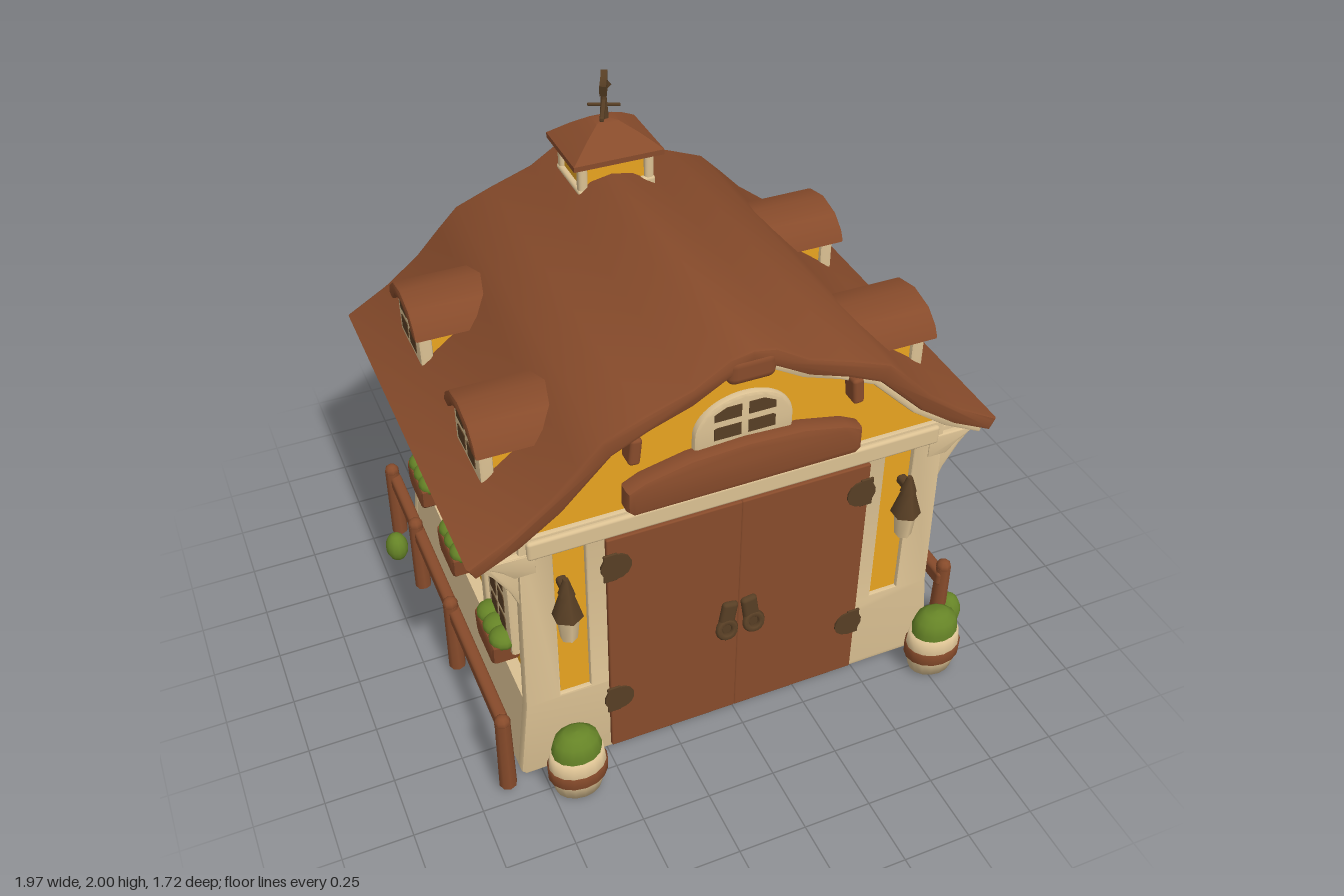
import * as THREE from 'three';
import { toCreasedNormals } from 'three/addons/utils/BufferGeometryUtils.js';
import { RoundedBoxGeometry } from 'three/addons/geometries/RoundedBoxGeometry.js';

const paint = (name, color) => Object.assign(new THREE.MeshStandardMaterial({ color }), { name });
const brown = paint('roof brown', 0x874b2b);
const yellow = paint('wall yellow', 0xffb424);
const cream = paint('plaster cream', 0xdac092);
const dark = paint('dark brown', 0x573e24);
const green = paint('leaf green', 0x668427);

function add(parent, name, geo, mat, x = 0, y = 0, z = 0) {
  const m = new THREE.Mesh(geo, mat);
  m.name = name;
  m.position.set(x, y, z);
  parent.add(m);
  return m;
}
const rbox = (w, h, d, r = 0.012) => new RoundedBoxGeometry(w, h, d, 2, Math.min(r, w / 2.1, h / 2.1, d / 2.1));
const vecs = (pts) => pts.map(([x, y]) => new THREE.Vector2(x, y));
const poly = (pts) => new THREE.Shape(vecs(pts));
function extrude(shape, depth, bevel = 0) {
  const g = new THREE.ExtrudeGeometry(shape, {
    depth: depth - 2 * bevel, bevelEnabled: bevel > 0, bevelSize: bevel, bevelThickness: bevel,
    bevelOffset: -bevel, bevelSegments: 2, curveSegments: 14,
  });
  g.translate(0, 0, bevel);
  return toCreasedNormals(g, 0.6);
}
// Profile in (outward, up), run along a side wall and centred on its length
function sideRun(pts, length, bevel = 0) {
  const g = extrude(poly(pts), length, bevel);
  g.translate(0, 0, -length / 2);
  return g.rotateY(-Math.PI / 2);
}
// Upright rectangle with an arched top, base at y = 0
function arch(w, h, rise) {
  const s = new THREE.Shape();
  s.moveTo(-w / 2, 0).lineTo(w / 2, 0).lineTo(w / 2, h - rise);
  s.absellipse(0, h - rise, w / 2, rise, 0, Math.PI, false);
  return s.lineTo(-w / 2, 0);
}
function arched(parent, w, h, rise, rows, x, y, z, paneW, paneH) {
  const g = new THREE.Group();
  g.name = 'archedWindow';
  g.position.set(x, y, z);
  parent.add(g);
  add(g, 'windowFrame', extrude(arch(w, h, rise), 0.05, 0.012), cream);
  const gap = 0.026, first = (h - rows * paneH - (rows - 1) * gap) * 0.5;
  for (const s of [-1, 1]) for (let r = 0; r < rows; r++) {
    // the uppermost panes lose their outer corner to follow the arch
    const cut = r === rows - 1 ? 0.45 : 0.1, a = gap / 2, b = a + paneW;
    const pts = [[a, 0], [b, 0], [b, paneH * (1 - cut)], [b - paneW * cut, paneH], [a, paneH]];
    const q = s > 0 ? pts : pts.map(([u, v]) => [-u, v]).reverse();
    add(g, 'windowPane', extrude(poly(q), 0.008), dark, 0, first + r * (paneH + gap), 0.045);
  }
}
const mirror = (half) => [...half.slice(1).reverse().map(([x, y]) => [-x, y]), ...half];
const outer = [[0, 1.67], [0.08, 1.655], [0.2, 1.58], [0.36, 1.525], [0.5, 1.47], [0.58, 1.39], [0.67, 1.295], [0.8, 1.195], [0.955, 1.105]];
const inner = [[0, 1.6], [0.08, 1.585], [0.2, 1.515], [0.34, 1.465], [0.47, 1.405], [0.55, 1.325], [0.64, 1.235], [0.78, 1.135], [0.93, 1.06]];
const band = (top, bottom) => poly([...mirror(top), ...mirror(bottom).reverse()]);
const lower = (pts, d) => pts.map(([x, y]) => [x * 0.99, y - d]);

function bush(parent, x, y, z, rx, ry, rz) {
  const g = new THREE.SphereGeometry(1, 12, 8);
  g.scale(rx, ry, rz);
  add(parent, 'bush', g, green, x, y, z);
}

// Gable end with doors, facing local +z, outer plaster at z = 0
function buildEnd(end, front) {
  const wall = poly([[-0.81, 0.003], [0.81, 0.003], [0.825, 0.02], [0.79, 0.35], [0.775, 1.12], [-0.775, 1.12], [-0.79, 0.35], [-0.825, 0.02]]);
  for (const s of [-1, 1]) {
    const a = s * 0.607;
    wall.holes.push(new THREE.Path(vecs([[a - 0.055, 0.36], [a - 0.055, 1.035], [a + 0.055, 1.035], [a + 0.055, 0.36]])));
  }
  add(end, 'endWall', extrude(wall, 0.05, 0.008), cream, 0, 0, -0.05);
  add(end, 'lintel', rbox(1.5, 0.075, 0.05), cream, 0, 1.073, -0.01);
  add(end, 'gableTrim', extrude(band(inner, lower(inner, 0.034)), 0.06, 0.008), cream, 0, 0, -0.05);
  for (const s of [-1, 1]) {
    add(end, 'doorLeaf', rbox(0.487, 1.01, 0.03, 0.006), brown, s * 0.2425, 0.525, 0);
    add(end, 'doorHandle', rbox(0.06, 0.15, 0.03, 0.015), dark, s * 0.045, 0.505, 0.02).rotation.z = s * 0.15;
    add(end, 'doorRing', new THREE.TorusGeometry(0.03, 0.014, 6, 14), dark, s * 0.052, 0.465, 0.035).rotation.x = -0.3;
    for (const y of [0.27, 0.91]) {
      const hinge = new THREE.CylinderGeometry(0.055, 0.055, 0.009, 14);
      hinge.rotateX(Math.PI / 2);
      add(end, 'hinge', hinge, dark, s * 0.455, y, 0.017);
      add(end, 'hingePlate', rbox(0.05, 0.12, 0.009), dark, s * 0.475, y, 0.017);
    }
    add(end, 'gableBracket', rbox(0.04, 0.1, 0.07), brown, s * 0.39, 1.39, 0.01).rotation.z = s * 0.1;
  }
  // arched loft window
  arched(end, 0.35, 0.19, 0.13, 2, 0, 1.285, -0.045, 0.095, 0.048);
  if (front) {
    const awning = poly([[-0.4, 1.13], [0.4, 1.13], [0.42, 1.15], [0.42, 1.23], [0.36, 1.26], [0.2, 1.295], [0, 1.305],
      [-0.2, 1.295], [-0.36, 1.26], [-0.42, 1.23], [-0.42, 1.15]]);
    add(end, 'doorAwning', extrude(awning, 0.08, 0.02), brown, 0, 0, -0.03);
    for (const s of [-1, 1]) buildLantern(end, s * 0.635);
  } else {
    add(end, 'wallHook', rbox(0.03, 0.12, 0.04), dark, 0.6, 0.76, 0);
  }
}
function buildLantern(parent, x) {
  const g = new THREE.Group();
  g.name = 'lantern';
  g.position.set(x, 0, 0.035);
  parent.add(g);
  add(g, 'lanternGlass', new THREE.CylinderGeometry(0.042, 0.03, 0.11, 6), cream, 0, 0.727, 0);
  add(g, 'lanternCap', new THREE.CylinderGeometry(0.024, 0.054, 0.1, 6), dark, 0, 0.825, 0);
  add(g, 'lanternFinial', new THREE.CylinderGeometry(0.01, 0.03, 0.065, 6), dark, 0, 0.905, 0);
  add(g, 'lanternArm', rbox(0.035, 0.035, 0.09), dark, 0, 0.89, -0.04);
}

// Long side, facing local +z (which is world x times s); world z maps to local x by -s
function buildSide(side, s) {
  // wall coved outwards below the eave, with a cream beam along its edge
  const cove = [[0.72, 0.84], [0.743, 0.84], [0.755, 0.91], [0.785, 0.97], [0.83, 1.02], [0.89, 1.06], [0.72, 1.06]];
  add(side, 'wallCove', sideRun(cove, 1.34), yellow, s * 0.04, 0, 0);
  add(side, 'eaveBeam', rbox(1.36, 0.04, 0.08), cream, s * 0.04, 1.053, 0.875);
  for (const z of [0.615, 0.16, -0.28, -0.695]) {
    add(side, 'sidePost', rbox(0.055, 0.76, 0.06), cream, -s * z, 0.68, 0.745);
    const bracket = [[0.72, 0.8], [0.77, 0.8], [0.805, 0.89], [0.86, 0.98], [0.925, 1.055], [0.9, 1.08], [0.72, 1.08]];
    add(side, 'eaveBracket', sideRun(bracket, 0.06, 0.008), cream, -s * z, 0, 0);
    const flare = [[0.72, 0.97], [0.795, 0.97], [0.835, 1.01], [0.91, 1.06], [0.72, 1.06]];
    add(side, 'bracketFlare', sideRun(flare, 0.1, 0.008), cream, -s * z, 0, 0);
  }
  for (const z of [0.4, -0.065, -0.475]) {
    arched(side, 0.235, 0.42, 0.13, 3, -s * z, 0.465, 0.737, 0.062, 0.075);
    const tub = extrude(poly([[-0.075, 0.405], [0.075, 0.405], [0.1, 0.43], [0.11, 0.51], [-0.11, 0.51], [-0.1, 0.43]]), 0.1, 0.015);
    add(side, 'flowerBox', tub, brown, -s * z, 0, 0.75);
    for (const i of [-1, 0, 1]) bush(side, -s * z + i * 0.068, 0.515, 0.8, 0.052, 0.038, 0.05);
  }
  // dormers
  for (const z of [0.295, -0.385]) {
    const g = new THREE.Group();
    g.name = 'dormer';
    g.position.x = -s * z;
    side.add(g);
    add(g, 'dormerWalls', extrude(arch(0.23, 0.22, 0.09), 0.28), yellow, 0, 1.165, 0.5);
    arched(g, 0.26, 0.215, 0.1, 2, 0, 1.185, 0.765, 0.076, 0.06);
    const shell = poly([[-0.175, 1.325], [-0.13, 1.32], [-0.09, 1.365], [0, 1.39], [0.09, 1.365], [0.13, 1.32], [0.175, 1.325],
      [0.155, 1.365], [0.1, 1.41], [0, 1.432], [-0.1, 1.41], [-0.155, 1.365]]);
    add(g, 'dormerRoof', extrude(shell, 0.34, 0.008), brown, 0, 0, 0.495);
  }
  // fence
  const f = new THREE.Group();
  f.name = 'fence';
  side.add(f);
  for (const z of [s > 0 ? 0.63 : 0.69, 0.085, -0.38, -0.73]) {
    add(f, 'fencePost', new THREE.CylinderGeometry(0.028, 0.032, 0.32, 8), brown, -s * z, 0.19, 0.887);
    add(f, 'fencePostTop', new THREE.SphereGeometry(0.029, 8, 6), brown, -s * z, 0.355, 0.887);
  }
  add(f, 'fenceRail', rbox(1.38, 0.065, 0.045, 0.015), brown, s * 0.04, 0.303, 0.877);
}

function buildCupola(root) {
  const c = new THREE.Group();
  c.name = 'cupola';
  c.position.set(0.015, 0, -0.565);
  root.add(c);
  add(c, 'cupolaBase', rbox(0.3, 0.05, 0.24), cream, 0, 1.61, 0);
  add(c, 'cupolaWalls', new THREE.BoxGeometry(0.26, 0.16, 0.2), yellow, 0, 1.67, 0);
  for (const x of [-0.128, 0.128]) for (const z of [-0.098, 0.098])
    add(c, 'cupolaPost', rbox(0.036, 0.14, 0.036), cream, x, 1.67, z);
  add(c, 'cupolaTrim', rbox(0.29, 0.02, 0.23), cream, 0, 1.727, 0);
  // four-sided roof with a swept brim
  const roof = new THREE.LatheGeometry(vecs([[0, 1.73], [0.245, 1.73], [0.245, 1.75], [0.14, 1.805], [0.06, 1.84], [0, 1.85]]), 4);
  roof.rotateY(Math.PI / 4);
  roof.scale(1, 1, 0.83);
  add(c, 'cupolaRoof', toCreasedNormals(roof, 0.6), brown);
  const v = new THREE.Group();
  v.name = 'weatherVane';
  v.rotation.y = -0.42;
  c.add(v);
  add(v, 'vanePole', new THREE.CylinderGeometry(0.009, 0.02, 0.13, 6), dark, 0, 1.89, 0);
  add(v, 'vaneArrow', rbox(0.016, 0.018, 0.3, 0.005), dark, 0, 1.91, 0);
  add(v, 'vaneCross', rbox(0.12, 0.012, 0.012, 0.005), dark, 0, 1.895, 0);
  const tip = add(v, 'vaneTip', new THREE.ConeGeometry(0.022, 0.05, 4), dark, 0, 1.91, -0.15);
  tip.rotation.x = -Math.PI / 2;
  const bird = extrude(poly([[-0.065, 1.995], [-0.05, 1.95], [-0.02, 1.935], [0.04, 1.935], [0.065, 1.955], [0.06, 2], [0.03, 1.985], [-0.03, 1.985]]), 0.024);
  bird.translate(0, 0, -0.012);
  bird.rotateY(Math.PI / 2);
  add(v, 'vaneFigure', bird, dark);
}

function buildBarrel(root, x, z) {
  const b = new THREE.Group();
  b.name = 'barrelPlanter';
  b.position.set(x, 0, z);
  b.scale.z = 0.8;
  root.add(b);
  add(b, 'barrel', new THREE.LatheGeometry(vecs([[0, 0.015], [0.085, 0.015], [0.1, 0.08], [0.104, 0.14], [0.096, 0.195], [0, 0.195]]), 16), cream);
  add(b, 'barrelBand', new THREE.LatheGeometry(vecs([[0.095, 0.085], [0.108, 0.085], [0.11, 0.135], [0.097, 0.135]]), 16), brown);
  add(b, 'barrelFoliage', new THREE.LatheGeometry(vecs([[0.088, 0.17], [0.09, 0.22], [0.078, 0.26], [0.045, 0.285], [0, 0.29]]), 14), green);
}

export function createModel() {
  const root = new THREE.Group();
  root.name = 'barn';

  // floor, plinth, walls, gambrel roof and ridge beam
  add(root, 'floor', new THREE.BoxGeometry(1.42, 0.006, 1.26), brown, 0, 0.003, -0.04);
  const plinth = poly([[-0.81, 0.003], [0.81, 0.003], [0.825, 0.02], [0.785, 0.34], [-0.785, 0.34], [-0.825, 0.02]]);
  add(root, 'plinth', extrude(plinth, 1.37), cream, 0, 0, -0.725);
  const core = poly([[-0.742, 0.3], [0.742, 0.3], [0.742, 1.15], ...mirror(inner.slice(0, 7)).reverse(), [-0.742, 1.15]]);
  add(root, 'walls', extrude(core, 1.365), yellow, 0, 0, -0.722);
  add(root, 'roof', extrude(band(outer, inner), 1.51, 0.014), brown, 0, 0, -0.8);
  add(root, 'ridgeBeam', rbox(0.17, 0.1, 1.525, 0.03), brown, 0, 1.6, -0.047);

  for (const front of [true, false]) {
    const end = new THREE.Group();
    end.name = front ? 'frontEnd' : 'backEnd';
    end.position.z = front ? 0.66 : -0.74;
    end.rotation.y = front ? 0 : Math.PI;
    root.add(end);
    buildEnd(end, front);
  }
  for (const s of [1, -1]) {
    const side = new THREE.Group();
    side.name = s > 0 ? 'leftSide' : 'rightSide';
    side.rotation.y = s * Math.PI / 2;
    root.add(side);
    buildSide(side, s);
  }
  buildCupola(root);
  buildBarrel(root, -0.655, 0.775);
  buildBarrel(root, 0.78, 0.77);

  // bushes around the walls
  bush(root, 0.93, 0.105, 0.63, 0.055, 0.08, 0.055);
  bush(root, 0.91, 0.1, -0.55, 0.05, 0.07, 0.05);
  bush(root, -0.94, 0.1, -0.56, 0.045, 0.065, 0.05);
  bush(root, 0.79, 0.08, -0.8, 0.065, 0.06, 0.055);
  return root;
}
